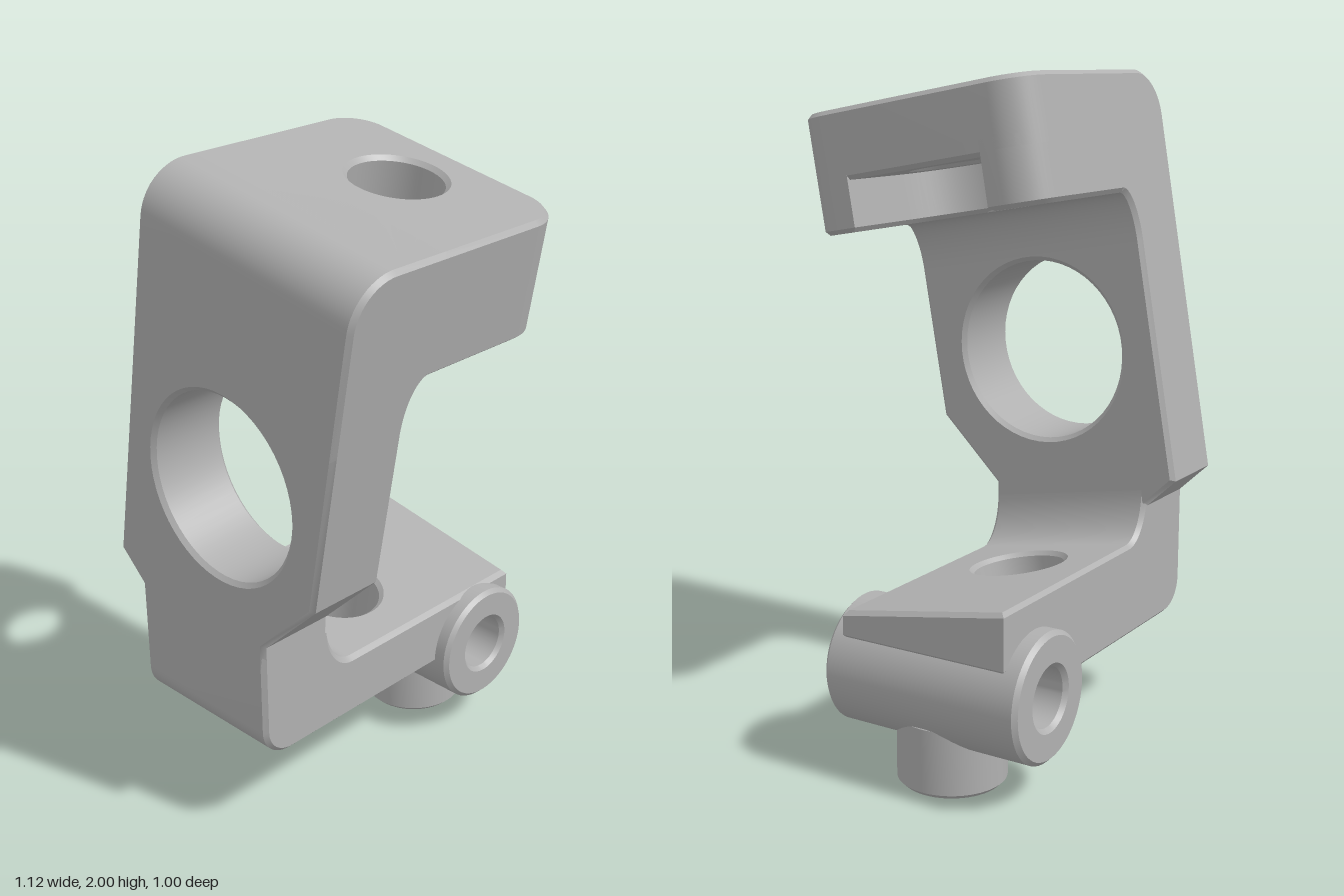
import * as THREE from 'three';
import { toCreasedNormals } from 'three/addons/utils/BufferGeometryUtils.js';

const TILT = THREE.MathUtils.degToRad(10);
const SLOPE = Math.tan(TILT);
const PY = 0.545, PZ = -0.135; // point where the tilted axis meets the shelf
const CH = 0.013; // edge chamfer

// Points on an elliptical arc, angles in quarter turns
function arc(cx, cy, rx, ry, q0, q1, n = 14) {
  return Array.from({ length: n + 1 }, (_, i) => {
    const a = (q0 + (q1 - q0) * i / n) * Math.PI / 2;
    return [cx + rx * Math.cos(a), cy + ry * Math.sin(a)];
  });
}

const circle = (cx, cy, r) => arc(cx, cy, r, r, 0, 4, 56).slice(0, -1);
const vectors = pts => pts.map(p => new THREE.Vector2(p[0], p[1]));

// Chamfered extrusion from z = from to z = to
function extrude(pts, from, to, holes = []) {
  const shape = new THREE.Shape(vectors(pts));
  holes.forEach(h => shape.holes.push(new THREE.Path(vectors(h))));
  const geo = new THREE.ExtrudeGeometry(shape, {
    depth: to - from - 2 * CH, bevelThickness: CH, bevelSize: CH,
    bevelOffset: -CH, bevelSegments: 1, steps: 1,
  });
  return geo.translate(0, 0, from + CH);
}

// Extrusion of a plan outline (x, -z) upwards
const extrudeUp = (...args) => extrude(...args).rotateX(-Math.PI / 2);

// Moves every vertex by a rule
function warp(geo, rule) {
  const p = geo.attributes.position, v = new THREE.Vector3();
  for (let i = 0; i < p.count; i++) {
    rule(v.fromBufferAttribute(p, i));
    p.setXYZ(i, v.x, v.y, v.z);
  }
  return geo;
}

// Hollow cylinder with chamfered rims
function tube(R, r, y0, y1) {
  const pts = [[r + CH, y0], [R - CH, y0], [R, y0 + CH], [R, y1 - CH], [R - CH, y1],
    [r + CH, y1], [r, y1 - CH], [r, y0 + CH], [r + CH, y0]];
  return new THREE.LatheGeometry(vectors(pts), 56);
}

export function createModel() {
  const model = new THREE.Group();
  model.name = 'bracket';
  const metal = new THREE.MeshStandardMaterial({ color: 0xb0b0b0 });
  metal.name = 'grey metal';

  function add(name, geo, parent = model) {
    const mesh = new THREE.Mesh(toCreasedNormals(geo, 0.6), metal);
    mesh.name = name;
    parent.add(mesh);
    return mesh;
  }

  // Upper arm, square to the tilted axis
  const arm = new THREE.Group();
  arm.name = 'upperArm';
  arm.position.set(0, PY, PZ);
  arm.rotation.x = TILT;
  model.add(arm);

  const TOP = 1.406, UNDER = 1.05, CEIL = 1.2, HALF = 0.4, END = 0.243;
  add('upperCorner', extrude([
    [-0.56, 0.9],
    ...arc(-0.42, TOP - 0.14, 0.14, 0.14, 2, 1),
    [-0.23, TOP],
    ...arc(-0.23, UNDER - 0.15, 0.07, 0.15, 1, 2),
  ], -HALF, HALF), arm);

  const R = 0.12;
  const lowerEnd = arc(END - R, -HALF + R, R, R, -1, 0);
  const upperEnd = arc(END - R, HALF - R, R, R, 0, 1);
  add('armPlate', extrudeUp(
    [[-0.4, -HALF], ...lowerEnd, ...upperEnd, [-0.4, HALF]],
    CEIL, TOP, [circle(0, 0, 0.135)]), arm);

  // Side walls around the slot, which is open towards +x
  const S = 0.23;
  add('slotWalls', extrudeUp([
    [-0.4, -HALF], ...lowerEnd, [END, -S],
    ...arc(0, 0, S, S, 3, 1, 32),
    [END, S], ...upperEnd, [-0.4, HALF],
  ], UNDER, CEIL + 0.06), arm);

  // Upright plate with the large window; outline in (-z, y)
  const tilted = (v, w) => [
    -(PZ + v * Math.sin(TILT) + w * Math.cos(TILT)),
    PY + v * Math.cos(TILT) - w * Math.sin(TILT),
  ];
  const FRONT = 0.13, BACK = -0.405;
  const [hx, hy] = tilted(0.604, 0);
  add('upright', extrude([
    tilted(1.2, HALF), tilted(0.42, HALF), [-FRONT, 0.69], [-FRONT, 0.58],
    [-BACK, 0.58], [-BACK, 0.69], tilted(0.168, -HALF), tilted(1.2, -HALF),
  ], -0.56, -0.3, [circle(hx, hy, 0.28)]).rotateY(Math.PI / 2));

  // Lower corner, its inner fillet following the sloping shelf top
  add('lowerCorner', warp(extrude([
    [-0.56, 0.66],
    ...arc(-0.46, 0.4, 0.1, 0.1, 2, 3),
    [-0.16, 0.3], [-0.16, PY],
    ...arc(-0.2, PY + 0.15, 0.1, 0.15, 3, 2),
  ], BACK, FRONT), v => {
    if (v.x > -0.4 && v.y > 0.48) v.y -= (v.z - PZ) * SLOPE;
  }));

  // Shelf with sloping top and tilted hole
  const slopeTop = v => {
    if (Math.hypot(v.x, v.z - PZ) < 0.16) v.z += (v.y - PY) * SLOPE;
    if (v.y > 0.48) v.y -= (v.z - PZ) * SLOPE;
  };
  const slab = (x0, x1) => [[x0, -FRONT], [x1, -FRONT], [x1, -BACK], [x0, -BACK]];
  add('shelf', warp(extrudeUp(slab(-0.25, 0.24), 0.3, PY, [circle(0, -PZ, 0.135)]), slopeTop));
  add('shelfEnd', warp(extrudeUp(slab(0.2, 0.525), 0.415, PY), slopeTop));

  // Crossed pivot sleeves
  const sleeve = add('pivotSleeve', tube(0.19, 0.087, -0.46, 0.18).rotateX(Math.PI / 2));
  sleeve.position.set(0.365, 0.31, 0);
  const foot = add('footSleeve', tube(0.16, 0.075, 0, 0.215));
  foot.position.set(0.365, 0, PZ);

  return model;
}
